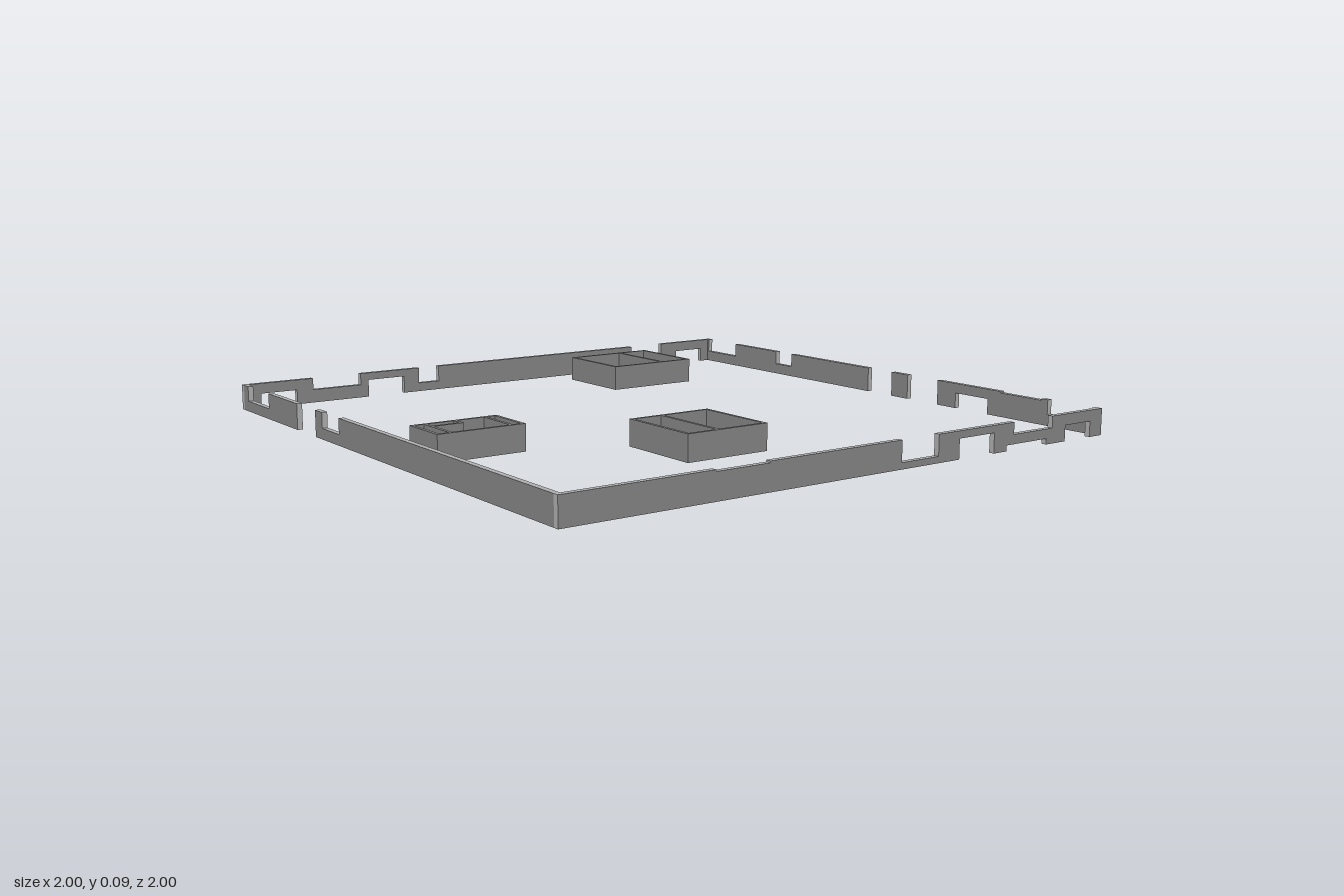
import * as THREE from 'three';

const H = 0.085; // wall height
const T = 0.018; // outer wall thickness
const t = 0.011; // building wall thickness

const stone = new THREE.MeshStandardMaterial({ color: 0x858585, flatShading: true });
const edge = new THREE.MeshStandardMaterial({ color: 0xb0b0b0, flatShading: true }); // wall tops and ends

// Wall slab from a to b: notches [from, to, floor] cut from the top,
// doors [from, to, height] cut from the bottom.
function slab(a, b, notches = [], doors = []) {
  const pts = [[a, 0]];
  for (const [f, g, h] of doors) pts.push([f, 0], [f, h], [g, h], [g, 0]);
  pts.push([b, 0], [b, H]);
  for (const [f, g, y] of [...notches].reverse()) pts.push([g, H], [g, y], [f, y], [f, H]);
  pts.push([a, H]);
  const shape = new THREE.Shape(pts.map(([x, y]) => new THREE.Vector2(x, y)));
  return new THREE.ExtrudeGeometry(shape, { depth: T, bevelEnabled: false });
}

// Wall running along x, with its low-z face at z
function wallX(name, z, ...args) {
  const mesh = new THREE.Mesh(slab(...args), [stone, edge]);
  mesh.name = name;
  mesh.position.z = z;
  return mesh;
}

// Wall running along z, with its low-x face at x
function wallZ(name, x, ...args) {
  const geometry = slab(...args);
  geometry.rotateY(-Math.PI / 2); // length now follows +z, thickness follows -x
  const mesh = new THREE.Mesh(geometry, [stone, edge]);
  mesh.name = name;
  mesh.position.x = x + T;
  return mesh;
}

function box(name, x0, x1, z0, z1) {
  const mesh = new THREE.Mesh(new THREE.BoxGeometry(x1 - x0, H, z1 - z0), stone);
  mesh.name = name;
  mesh.position.set((x0 + x1) / 2, H / 2, (z0 + z1) / 2);
  return mesh;
}

// Roofless building with partitions at the given x positions
function building(name, x0, x1, z0, z1, partitions) {
  const g = new THREE.Group();
  g.name = name;
  g.add(
    box('backSide', x0, x1, z0, z0 + t),
    box('frontSide', x0, x1, z1 - t, z1),
    box('rightSide', x0, x0 + t, z0 + t, z1 - t),
    box('leftSide', x1 - t, x1, z0 + t, z1 - t)
  );
  for (const x of partitions) g.add(box('partition', x - t / 2, x + t / 2, z0 + t, z1 - t));
  return g;
}

export function createModel() {
  const model = new THREE.Group();
  model.name = 'ruinedCompound';

  // Outer walls, broken by notches and doorways
  const outer = new THREE.Group();
  outer.name = 'outerWalls';
  const e = 1 - T;
  outer.add(
    wallX('frontWall', e, -1, 1,
      [[-0.52, -0.34, 0.08], [0.14, 0.285, 0.02], [0.6, 0.77, 0.048]],
      [[0.37, 0.515, 0.062], [0.57, 0.745, 0.018], [0.83, 0.945, 0.05]]),
    wallX('backWall', -1, -1, 1,
      [[-0.75, -0.57, 0.045], [-0.34, -0.26, 0.03], [0.6, 0.745, 0.048]],
      [[-0.94, -0.81, 0.05], [-0.54, -0.4, 0.06], [0.82, 0.945, 0.05]]),
    wallZ('rightWallBack', -1, -e, -0.54, [[-0.945, -0.77, 0.035]]),
    wallZ('rightWallFront', -1, -0.4, e, [[-0.35, -0.23, 0.035]]),
    wallZ('leftWallBack', e, -e, -0.03,
      [[-0.975, -0.8, 0.037], [-0.547, -0.457, 0.037]]),
    wallZ('leftWallPillar', e, 0.09, 0.17),
    wallZ('leftWallFront', e, 0.315, e,
      [[0.6, 0.775, 0.08], [0.8, 0.975, 0.037]],
      [[0.4, 0.545, 0.052]])
  );
  model.add(outer);

  // Buildings inside the compound
  model.add(building('backBuilding', 0.253, 0.59, -0.88, -0.588, [0.468]));
  model.add(building('frontBuilding', -0.295, -0.001, 0.288, 0.58, [-0.18]));
  const small = building('smallBuilding', -0.88, -0.586, -0.002, 0.17, [-0.832, -0.63]);
  // Closet in the corner of the small building
  small.add(
    box('closetFront', -0.8265, -0.728, 0.042, 0.042 + t),
    box('closetSide', -0.728 - t, -0.728, t - 0.002, 0.042)
  );
  model.add(small);

  return model;
}
